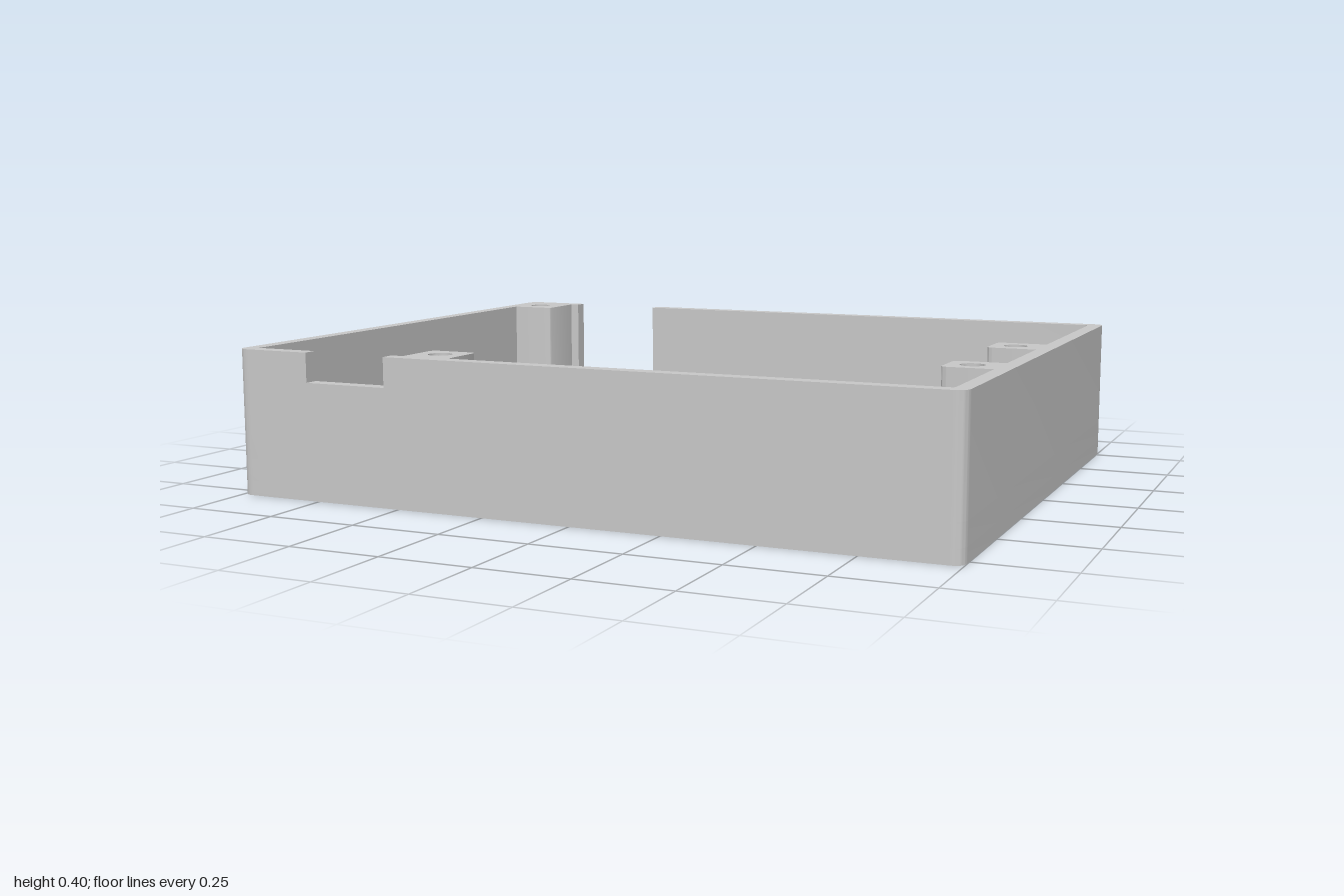
import * as THREE from 'three';
import { toCreasedNormals } from 'three/addons/utils/BufferGeometryUtils.js';

const FLOOR = 0.04, TOP = 0.397, BORE_TOP = 0.1;
const grey = new THREE.MeshStandardMaterial({ color: 0xc8c8c8 });
grey.name = 'grey plastic';

// Closed outline from [x, z, cornerRadius] points, in the plan view
function outline(points, Type = THREE.Shape) {
  const path = new Type();
  const p = points.map(([x, z]) => new THREE.Vector2(x, -z));
  const n = p.length;
  p.forEach((c, i) => {
    const r = points[i][2] || 0;
    const toward = (q) => q.clone().sub(c).setLength(r).add(c);
    const a = r ? toward(p[(i + n - 1) % n]) : c;
    if (i === 0) path.moveTo(a.x, a.y);
    else path.lineTo(a.x, a.y);
    if (r) {
      const b = toward(p[(i + 1) % n]);
      path.quadraticCurveTo(c.x, c.y, b.x, b.y);
    }
  });
  path.closePath();
  return path;
}

// Outlines run clockwise and holes counter-clockwise, so hole walls face inwards
const rect = (x0, x1, z0, z1, r = 0) => [[x0, z0, r], [x1, z0, r], [x1, z1, r], [x0, z1, r]];
const rectHole = (...a) => outline(rect(...a).reverse(), THREE.Path);
const roundHole = (x, z, r) => new THREE.Path().absarc(x, -z, r, 0, Math.PI * 2, false);

// Plan shape raised from y0 to y1
function slab(name, shape, y0, y1) {
  const extruded = new THREE.ExtrudeGeometry(shape, { depth: y1 - y0, bevelEnabled: false, curveSegments: 14 });
  extruded.rotateX(-Math.PI / 2).translate(0, y0, 0);
  const mesh = new THREE.Mesh(toCreasedNormals(extruded, 0.6), grey);
  mesh.name = name;
  return mesh;
}

// Sloped frame that narrows the window from the underside to the inside
function windowFrame(outer, inner) {
  const ring = ([x0, x1, z0, z1], y) => [[x0, y, z0], [x1, y, z0], [x1, y, z1], [x0, y, z1]];
  const rings = [ring(outer, 0), ring(inner, FLOOR), ring(outer, FLOOR)];
  const pos = [];
  for (let s = 0; s < 2; s++) {
    for (let i = 0; i < 4; i++) {
      const j = (i + 1) % 4;
      const a = rings[s][i], b = rings[s][j], c = rings[s + 1][j], d = rings[s + 1][i];
      pos.push(...a, ...b, ...c, ...a, ...c, ...d);
    }
  }
  const geometry = new THREE.BufferGeometry();
  geometry.setAttribute('position', new THREE.Float32BufferAttribute(pos, 3));
  geometry.computeVertexNormals();
  const mesh = new THREE.Mesh(geometry, grey);
  mesh.name = 'windowFrame';
  return mesh;
}

export function createModel() {
  const group = new THREE.Group();
  group.name = 'enclosureHalf';
  const leftScrews = [[0.89, -0.113], [0.89, 0.342], [-0.433, 0.688]];
  const rightScrews = [[-0.908, -0.685]];
  const bore = 0.05, shank = 0.032;

  // Floor with vents, round opening, window and screw head recesses
  const windowOuter = [0.057, 0.495, 0.032, 0.322];
  const floor = outline(rect(-1, 1, -0.8, 0.8, 0.035));
  for (const [x, z] of [...leftScrews, ...rightScrews]) floor.holes.push(roundHole(x, z, bore));
  for (let i = 0; i < 12; i++) {
    const z = -0.41 + i * 0.0685;
    floor.holes.push(rectHole(-0.887, -0.53, z - 0.016, z + 0.016));
  }
  floor.holes.push(roundHole(0.277, -0.293, 0.105), rectHole(...windowOuter));
  group.add(slab('floor', floor, 0, FLOOR));
  group.add(windowFrame(windowOuter, [0.077, 0.475, 0.072, 0.282]));

  // Walls with their screw posts, in two runs between the notches
  const r = 0.035, q = 0.02;
  const rightRun = [
    [-0.8, -0.8], [-1, -0.8, r], [-1, 0.8, r], [-0.777, 0.8], [-0.777, 0.76],
    [-0.96, 0.76], [-0.96, -0.61], [-0.827, -0.61, 0.008], [-0.827, -0.76], [-0.8, -0.76],
  ];
  const leftRun = [
    [-0.513, -0.8], [1, -0.8, r], [1, 0.8, r], [-0.535, 0.8], [-0.535, 0.76],
    [-0.5, 0.76], [-0.5, 0.62, q], [-0.365, 0.62, q], [-0.365, 0.76], [0.96, 0.76, 0.01],
    [0.96, 0.407], [0.825, 0.407, q], [0.825, 0.275, q], [0.96, 0.275],
    [0.96, -0.047], [0.825, -0.047, q], [0.825, -0.18, q], [0.96, -0.18],
    [0.96, -0.76, 0.01], [-0.513, -0.76],
  ];
  for (const [name, run, screws] of [['rightWall', rightRun, rightScrews], ['leftWall', leftRun, leftScrews]]) {
    for (const [part, y0, y1, radius] of [['Lower', FLOOR, BORE_TOP, bore], ['Upper', BORE_TOP, TOP, shank]]) {
      const shape = outline(run);
      for (const [x, z] of screws) shape.holes.push(roundHole(x, z, radius));
      group.add(slab(name + part, shape, y0, y1));
    }
  }

  // Low walls under the cable notches
  group.add(slab('frontNotchSill', outline(rect(-0.777, -0.535, 0.76, 0.8)), FLOOR, 0.317));
  group.add(slab('backNotchSill', outline(rect(-0.8, -0.513, -0.8, -0.76)), FLOOR, 0.17));

  // Small hollow standoffs around the window
  for (const x of [0.077, 0.475]) {
    for (const z of [0, 0.407]) {
      const ring = new THREE.Shape().absarc(x, -z, 0.035, 0, Math.PI * 2, true);
      ring.holes.push(roundHole(x, z, 0.017));
      group.add(slab('standoff', ring, FLOOR, 0.075));
    }
  }
  return group;
}
